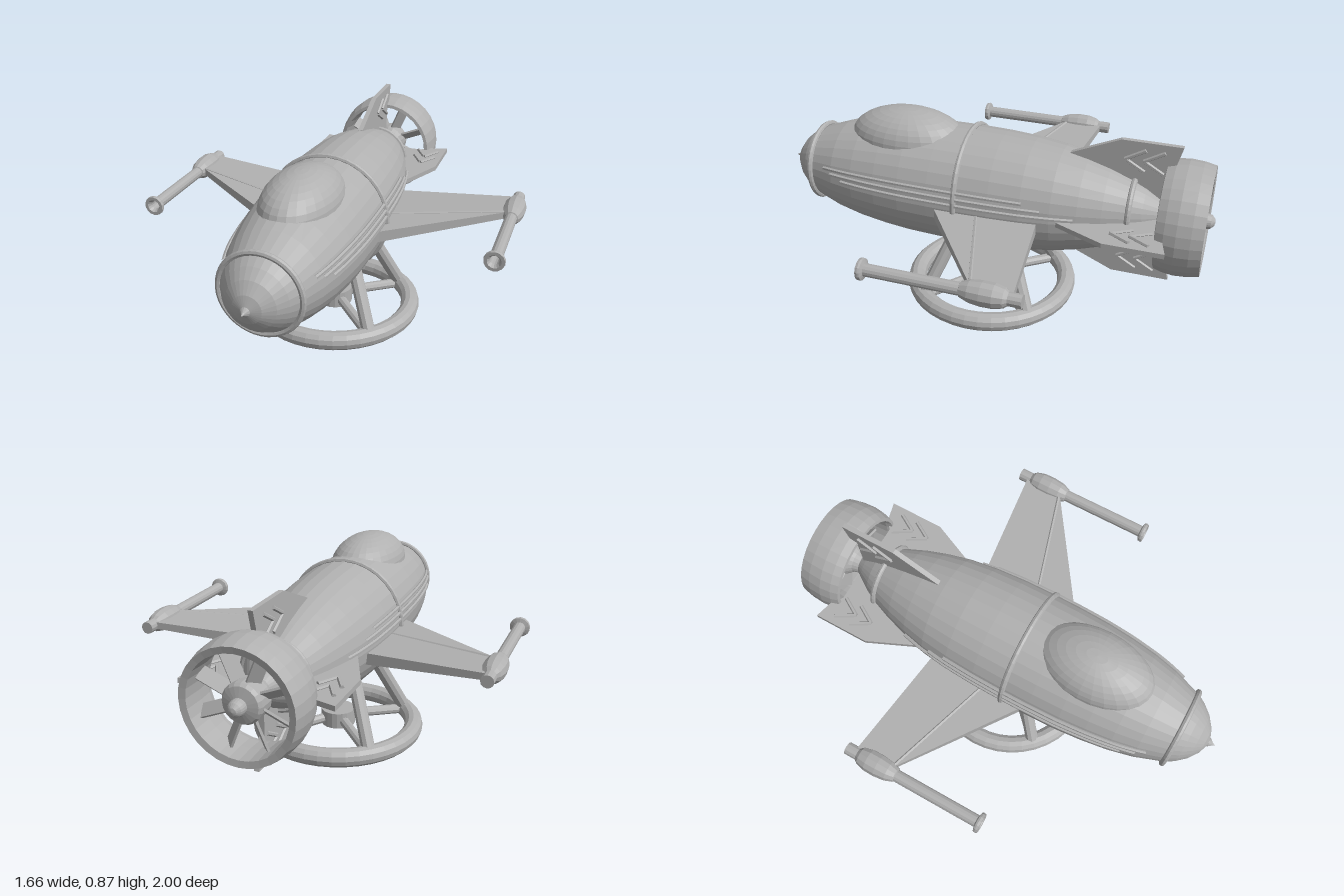
import * as THREE from 'three';

const grey = new THREE.MeshStandardMaterial({ color: 0xb0b0b0, flatShading: true });
grey.name = 'plain grey';
const AXIS = 0.545; // height of the hull's centre line
const V = (x, y, z) => new THREE.Vector3(x, y, z);

function add(parent, name, geometry, x = 0, y = 0, z = 0) {
  const mesh = new THREE.Mesh(geometry, grey);
  mesh.name = name;
  mesh.position.set(x, y, z);
  parent.add(mesh);
  return mesh;
}

// Turned part lying along z; points are [radius, z] with z rising on the outside
function turned(points, sides = 32) {
  const g = new THREE.LatheGeometry(points.map(([r, z]) => new THREE.Vector2(r, z)), sides);
  return g.rotateX(Math.PI / 2);
}

// Straight round bar between two points
function bar(parent, name, a, b, radius, sides = 10) {
  const d = b.clone().sub(a);
  const m = add(parent, name, new THREE.CylinderGeometry(radius, radius, d.length(), sides));
  m.position.copy(a).add(b).multiplyScalar(0.5);
  m.quaternion.setFromUnitVectors(V(0, 1, 0), d.normalize());
  return m;
}

// Hull radius at each station along z
const hull = [
  [0, -0.82], [0.045, -0.8], [0.075, -0.76], [0.115, -0.7], [0.15, -0.63], [0.185, -0.54], [0.215, -0.44],
  [0.24, -0.33], [0.257, -0.2], [0.266, -0.06], [0.269, 0.08], [0.268, 0.22], [0.263, 0.36],
  [0.252, 0.48], [0.235, 0.6], [0.21, 0.71], [0.175, 0.81], [0.165, 0.84], [0.14, 0.88],
  [0.105, 0.92], [0.06, 0.953], [0.02, 0.968], [0, 0.97],
];
function hullRadius(z) {
  const i = Math.max(1, hull.findIndex((p) => p[1] >= z));
  const [r0, z0] = hull[i - 1], [r1, z1] = hull[i];
  return r0 + ((r1 - r0) * (z - z0)) / (z1 - z0);
}

function addHull(root) {
  add(root, 'hull', turned(hull), 0, AXIS, 0);
  add(root, 'noseSpike', turned([[0.022, 0.955], [0.02, 0.972], [0.008, 0.985], [0, 1]], 12), 0, AXIS, 0);
  for (const [name, r, z] of [['noseRing', 0.174, 0.835], ['middleRing', 0.271, 0.09], ['tailRing', 0.147, -0.645]])
    add(root, name, new THREE.TorusGeometry(r, 0.013, 8, 40), 0, AXIS, z);
  const canopy = add(root, 'canopy', new THREE.SphereGeometry(1, 28, 18), 0, 0.735, 0.395);
  canopy.scale.set(0.165, 0.14, 0.275);

  // Three rails hugging each flank
  for (const s of [1, -1])
    for (const [angle, z0, z1] of [[0.31, -0.21, 0.75], [0.205, -0.29, 0.71], [0.1, -0.43, 0.65]]) {
      const pts = [];
      for (let i = 0; i <= 14; i++) {
        const z = z0 + ((z1 - z0) * i) / 14, r = hullRadius(z) + 0.003;
        pts.push(V(s * r * Math.cos(angle), AXIS + r * Math.sin(angle), z));
      }
      add(root, 'sideRail', new THREE.TubeGeometry(new THREE.CatmullRomCurve3(pts), 28, 0.009, 6));
    }
}

function addWing(root, s) {
  const wing = new THREE.Group();
  wing.name = s > 0 ? 'leftWing' : 'rightWing';
  root.add(wing);

  // Tapered wing panel: a box with its corners moved
  const g = new THREE.BoxGeometry(2, 2, 2);
  const p = g.attributes.position;
  for (let i = 0; i < p.count; i++) {
    const tip = p.getX(i) * s > 0, top = p.getY(i) > 0, front = p.getZ(i) > 0;
    p.setXYZ(i, s * (tip ? 0.77 : 0.2),
      tip ? (top ? 0.557 : 0.527) : (top ? 0.535 : 0.482),
      tip ? (front ? -0.17 : -0.34) : (front ? 0.225 : -0.272));
  }
  g.computeVertexNormals();
  add(wing, 'wingPanel', g);
  bar(wing, 'wingSpar', V(s * 0.76, 0.553, -0.165), V(s * 0.25, 0.532, -0.01), 0.009, 6);

  // Wingtip pod with hollow barrel
  const x = s * 0.778;
  add(wing, 'wingtipPod', turned([[0, -0.38], [0.028, -0.38], [0.028, -0.325], [0.04, -0.31], [0.05, -0.27],
    [0.051, -0.22], [0.045, -0.17], [0.032, -0.135], [0, -0.12]], 12), x, 0.54, 0);
  add(wing, 'barrel', turned([[0, -0.16], [0.027, -0.16], [0.027, 0.262], [0.044, 0.268], [0.046, 0.276],
    [0.044, 0.286], [0.03, 0.286], [0.02, 0.27], [0.02, 0.2], [0, 0.2]], 14), x, 0.54, 0);
}

// Fin drawn as (radius, z), then turned around the hull axis
function addFin(root, turn) {
  const fin = new THREE.Group();
  fin.name = 'tailFin';
  fin.position.y = AXIS;
  fin.rotation.z = turn;
  root.add(fin);
  const outline = [[0.05, -0.36], [0.235, -0.36], [0.33, -0.575], [0.33, -0.832], [0.245, -0.81], [0.2, -0.775], [0.05, -0.775]];
  const shape = new THREE.Shape(outline.map(([r, z]) => new THREE.Vector2(r, -z)));
  const g = new THREE.ExtrudeGeometry(shape, { depth: 0.022, bevelEnabled: false });
  g.translate(0, 0, -0.011).rotateX(-Math.PI / 2);
  add(fin, 'finPanel', g);
  // Raised chevrons pointing forward on both faces
  for (const y of [0.014, -0.014])
    for (const tip of [-0.595, -0.675])
      for (const e of [1, -1])
        bar(fin, 'chevron', V(0.245, y, tip), V(0.245 + e * 0.05, y, tip - 0.085), 0.009, 6);
}

function addFan(root) {
  const fan = new THREE.Group();
  fan.name = 'tailFan';
  fan.position.y = AXIS;
  root.add(fan);
  add(fan, 'shroud', turned([[0.212, -0.965], [0.24, -0.97], [0.25, -0.92], [0.254, -0.86], [0.248, -0.81],
    [0.237, -0.775], [0.222, -0.772], [0.213, -0.8], [0.208, -0.87], [0.212, -0.965]]));
  add(fan, 'fanHub', turned([[0, -1], [0.016, -0.996], [0.03, -0.982], [0.034, -0.965], [0.034, -0.945], [0.075, -0.935],
    [0.085, -0.92], [0.085, -0.85], [0.06, -0.82], [0.045, -0.77], [0, -0.77]], 20));
  for (let i = 0; i < 8; i++) {
    const arm = new THREE.Group();
    arm.name = 'fanBladeArm';
    arm.rotation.z = (i / 8) * Math.PI * 2 + Math.PI / 8;
    fan.add(arm);
    const blade = add(arm, 'fanBlade', new THREE.BoxGeometry(0.15, 0.06, 0.01), 0.14, 0, -0.885);
    blade.rotation.x = 0.85;
  }
}

function addStand(root) {
  const stand = new THREE.Group();
  stand.name = 'stand';
  root.add(stand);
  add(stand, 'baseRing', new THREE.TorusGeometry(0.36, 0.043, 12, 40).rotateX(Math.PI / 2), 0, 0.045, 0);
  add(stand, 'baseHub', new THREE.CylinderGeometry(0.08, 0.08, 0.075, 20), 0, 0.08, 0);
  for (const x of [1, -1])
    for (const z of [1, -1]) {
      bar(stand, 'spoke', V(x * 0.03, 0.078, z * 0.03), V(x * 0.255, 0.045, z * 0.255), 0.023);
      bar(stand, 'strut', V(x * 0.125, 0.36, z * 0.125), V(x * 0.25, 0.055, z * 0.25), 0.031);
    }
}

export function createModel() {
  const root = new THREE.Group();
  root.name = 'rocketPlane';
  addHull(root);
  for (const s of [1, -1]) addWing(root, s);
  for (let i = 0; i < 4; i++) addFin(root, (i * Math.PI) / 2);
  addFan(root);
  addStand(root);
  return root;
}
